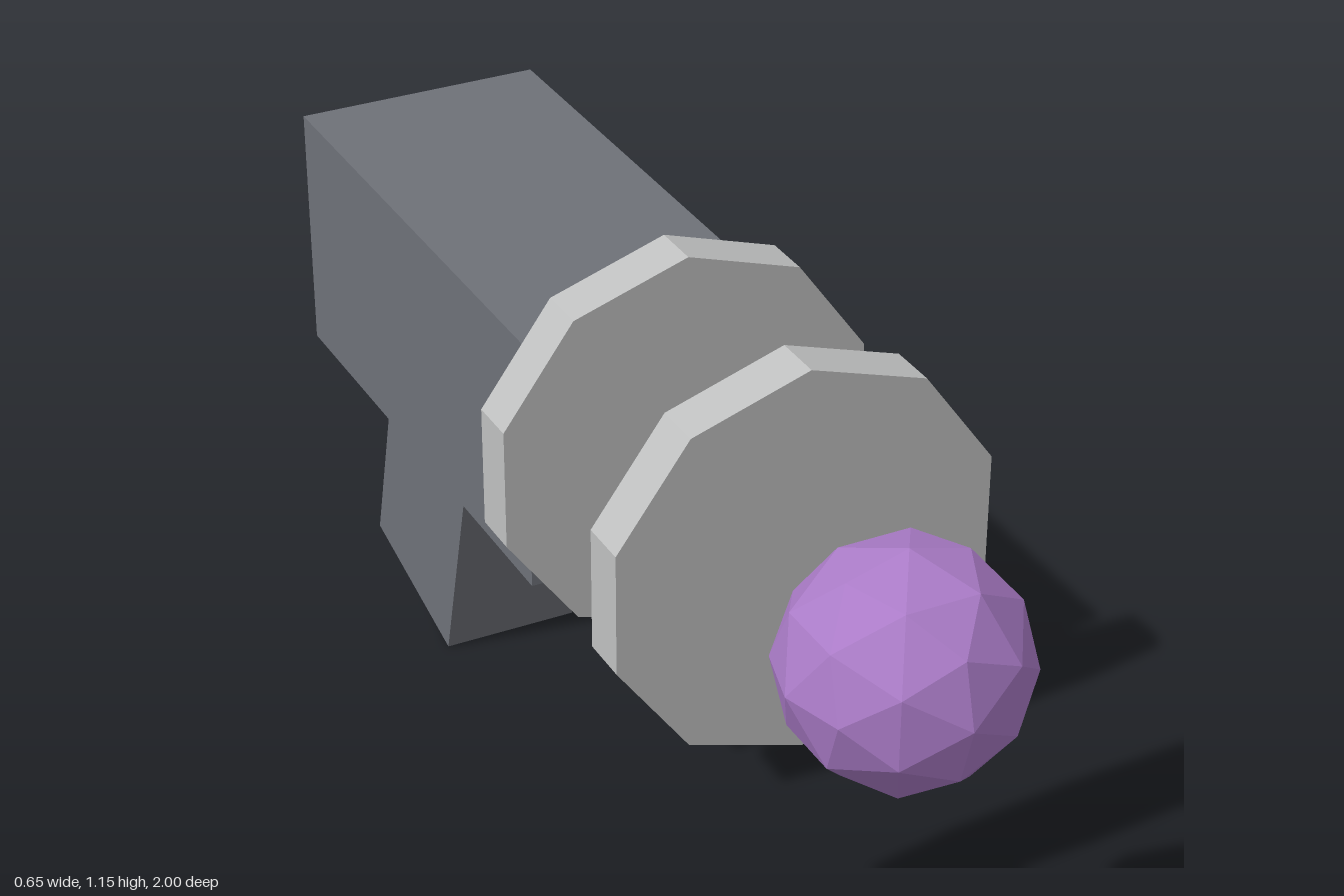
import * as THREE from 'three';

const AXIS_Y = 0.808; // height of the barrel axis

export function createModel() {
  const model = new THREE.Group();
  const paint = (name, color) => {
    const m = new THREE.MeshStandardMaterial({ color, flatShading: true });
    m.name = name;
    return m;
  };
  const darkGrey = paint('dark grey', 0x6e7178);
  const lightGrey = paint('light grey', 0xbfc0c0);
  const purple = paint('purple', 0xab7cc8);

  const add = (name, geometry, material, y, z) => {
    const mesh = new THREE.Mesh(geometry, material);
    mesh.name = name;
    mesh.position.set(0, y, z);
    model.add(mesh);
    return mesh;
  };

  // Rectangular body
  add('body', new THREE.BoxGeometry(0.454, 0.455, 0.97), darkGrey, 0.7525, -0.515);

  // Raked grip, its top sunk into the body
  const grip = add('grip', new THREE.BoxGeometry(0.26, 0.6, 0.34), darkGrey, 0.334, -0.732);
  grip.rotation.x = THREE.MathUtils.degToRad(15);

  // Two ten-sided discs in front of the body
  const disc = new THREE.CylinderGeometry(0.343, 0.343, 0.086, 10).rotateX(Math.PI / 2);
  add('rearDisc', disc, lightGrey, AXIS_Y, 0.053);
  add('frontDisc', disc, lightGrey, AXIS_Y, 0.457);

  // Faceted ball at the tip
  add('tipBall', new THREE.IcosahedronGeometry(0.2, 1), purple, AXIS_Y, 0.8);

  return model;
}
